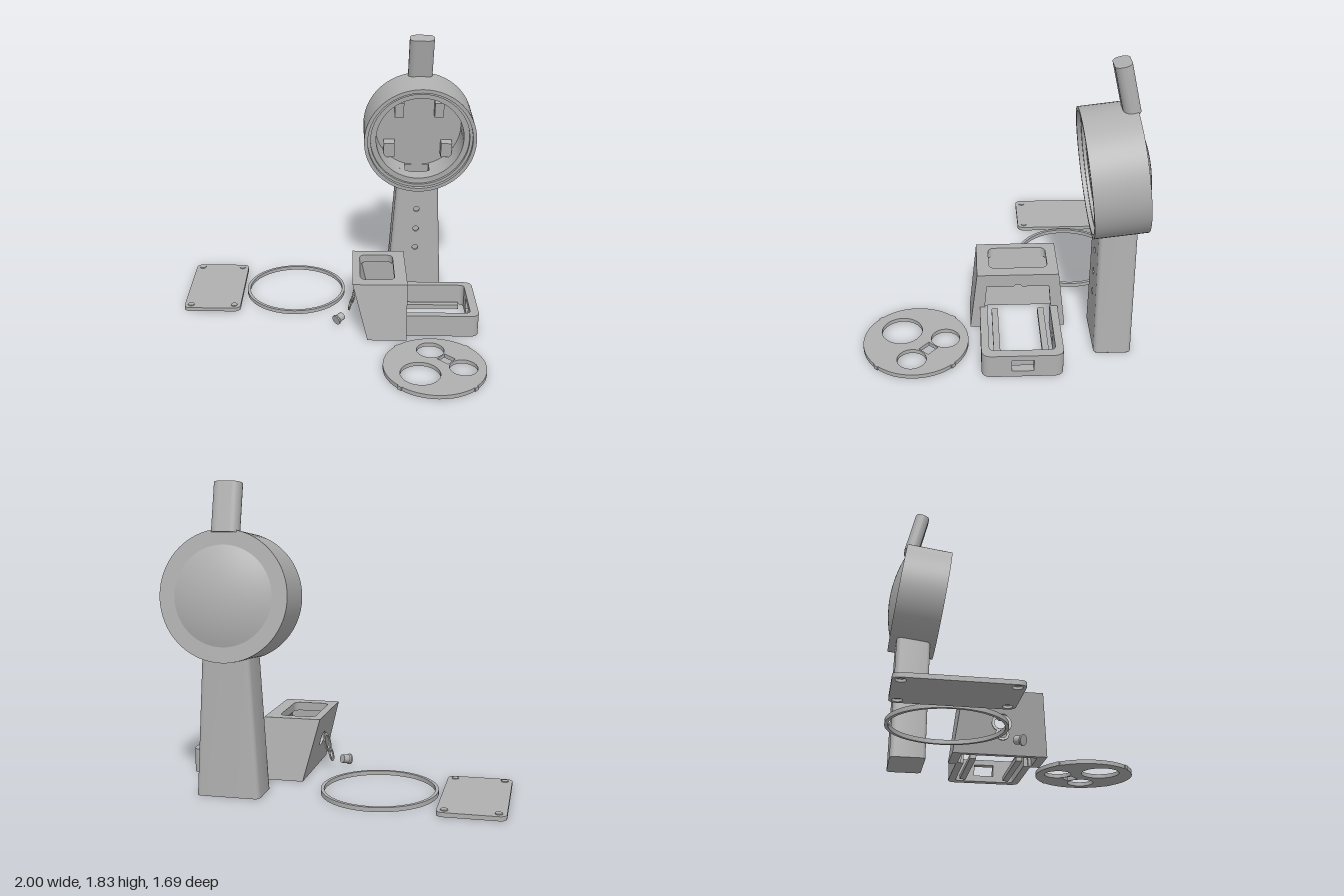
import * as THREE from 'three';
import { toCreasedNormals } from 'three/addons/utils/BufferGeometryUtils.js';

const grey = new THREE.MeshStandardMaterial({ color: 0xb0b0b0, side: THREE.DoubleSide });
grey.name = 'plastic grey';

function add(parent, name, geo, x = 0, y = 0, z = 0) {
  const m = new THREE.Mesh(geo, grey);
  m.name = name;
  m.position.set(x, y, z);
  parent.add(m);
  return m;
}

// ---- shape helpers ----
function roundRect(x0, y0, x1, y1, r, C = THREE.Shape) {
  const s = new C();
  s.moveTo(x0 + r, y0);
  s.lineTo(x1 - r, y0); s.absarc(x1 - r, y0 + r, r, -Math.PI / 2, 0);
  s.lineTo(x1, y1 - r); s.absarc(x1 - r, y1 - r, r, 0, Math.PI / 2);
  s.lineTo(x0 + r, y1); s.absarc(x0 + r, y1 - r, r, Math.PI / 2, Math.PI);
  s.lineTo(x0, y0 + r); s.absarc(x0 + r, y0 + r, r, Math.PI, Math.PI * 1.5);
  return s;
}
const poly = (pts, C = THREE.Shape) => new C(pts.map(p => new THREE.Vector2(...p)));
const circle = (x, y, r, C = THREE.Path) => new C().absarc(x, y, r, 0, Math.PI * 2);
const extrude = (s, depth) => new THREE.ExtrudeGeometry(s, { depth, bevelEnabled: false, curveSegments: 24 });
// plan shape (x, z) raised from y0 to y1
const slab = (s, y0, y1) => toCreasedNormals(extrude(s, y1 - y0).rotateX(Math.PI / 2).translate(0, y1, 0), 0.5);
// side shape (z, y) spanning x0 to x1
const sidePanel = (s, x0, x1) => extrude(s, x1 - x0).rotateY(-Math.PI / 2).translate(x1, 0, 0);
const lathe = (pts, seg = 72, a = 0, l = Math.PI * 2) =>
  toCreasedNormals(new THREE.LatheGeometry(pts.map(p => new THREE.Vector2(...p)), seg, a, l), 0.3);
const ring = (ri, ro, h) => lathe([[ri, 0], [ro, 0], [ro, h], [ri, h], [ri, 0]]);

// ---- loose flat parts ----
function flatParts(g) {
  const lower = roundRect(-1, -0.85, -0.61, -0.18, 0.04);
  for (const x of [-0.955, -0.655]) for (const z of [-0.805, -0.225]) {
    lower.holes.push(circle(x, z, 0.028));
    add(g, 'coverBoss', new THREE.CylinderGeometry(0.022, 0.022, 0.008, 24), x, 0.028, z);
  }
  add(g, 'coverPlateUnderside', slab(lower, 0, 0.015));
  add(g, 'coverPlate', slab(roundRect(-1, -0.85, -0.61, -0.18, 0.04), 0.015, 0.026));

  add(g, 'retainingRing', ring(0.33, 0.35, 0.026), -0.235, 0, -0.5);

  const disc = circle(0.675, 0.52, 0.322, THREE.Shape);
  disc.holes.push(circle(0.663, 0.34, 0.088), circle(0.853, 0.54, 0.088), circle(0.58, 0.61, 0.125),
    poly([[0.75, 0.385], [0.812, 0.442], [0.76, 0.5], [0.698, 0.442]], THREE.Path));
  add(g, 'facePlate', slab(disc, 0, 0.026));
  for (let i = 0; i < 4; i++) {
    const a = Math.PI / 4 + i * Math.PI / 2;
    add(g, 'facePlateTab', new THREE.BoxGeometry(0.02, 0.026, 0.03),
      0.675 + Math.cos(a) * 0.318, 0.013, 0.52 + Math.sin(a) * 0.318).rotation.y = -a;
  }
}

// ---- tapered neck ----
function neck(g) {
  const H = 0.84, zf = -0.56, zb = -0.785, r = 0.03, cx = 0.615;
  const hw = y => 0.192 - 0.05 * y / H;
  // section from the front left edge round the back to the front right edge
  const half = [];
  for (const [z, a0] of [[zf - r, Math.PI / 2], [zb + r, 0]])
    for (let i = 0; i <= 5; i++) {
      const a = a0 - i / 5 * Math.PI / 2;
      half.push([-r + r * Math.cos(a), z + r * Math.sin(a)]);
    }
  const section = y => {
    const right = half.map(([x, z]) => [cx + hw(y) + x, z]);
    return right.concat(right.map(([x, z]) => [2 * cx - x, z]).reverse());
  };
  const rows = [section(H), section(0)], n = rows[0].length;
  const shell = new THREE.PlaneGeometry(1, 1, n - 1, 1), p = shell.attributes.position;
  for (let i = 0; i < p.count; i++) {
    const row = Math.floor(i / n), [x, z] = rows[row][i % n];
    p.setXYZ(i, x, row ? 0 : H, z);
  }
  add(g, 'neckShell', toCreasedNormals(shell, 0.5));
  add(g, 'neckFoot', slab(poly(section(0)), 0, 0.004));

  const b = hw(0) - r, t = hw(H) - r;
  const front = poly([[cx - b, 0], [cx + b, 0], [cx + t, H], [cx - t, H]]);
  for (const y of [0.325, 0.47, 0.62]) front.holes.push(circle(cx, y, 0.02));
  add(g, 'neckFront', extrude(front, 0.02), 0, 0, zf - 0.02);
}

// ---- tilted round housing, local -z is its depth ----
function housing(g) {
  const h = new THREE.Group();
  h.name = 'housing';
  h.position.set(0.6175, 1.145, -0.48);
  h.rotation.x = 0.119;
  g.add(h);
  const turn = geo => geo.rotateX(-Math.PI / 2);
  const profile = [[0.298, 0.14], [0.298, 0.045], [0.335, 0.045], [0.335, 0.025], [0.355, 0.025],
    [0.355, 0], [0.38, 0], [0.38, 0.312]];
  const R = 0.792, top = 0.367;
  for (let i = 0; i <= 10; i++) {
    const x = 0.29 * (1 - i / 10);
    profile.push([x, top - R + Math.sqrt(R * R - x * x)]);
  }
  add(h, 'housingShell', turn(lathe(profile)));
  add(h, 'housingFloor', turn(lathe([[0.298, 0.25], [0, 0.25]])));
  // rear inner wall, cut open at the bottom for the cable passage
  const gap = Math.asin(0.085 / 0.298);
  add(h, 'innerWall', turn(lathe([[0.298, 0.14], [0.298, 0.25]], 64, Math.PI + gap, 2 * Math.PI - 2 * gap)));
  for (const s of [-1, 1]) {
    add(h, 'passageSide', new THREE.BoxGeometry(0.004, 0.085, 0.11), s * 0.087, -0.327, -0.195);
    add(h, 'passageEnd', new THREE.BoxGeometry(0.17, 0.07, 0.004), 0, -0.333, -0.195 + s * 0.057);
    // mounting blocks
    add(h, 'upperBlock', new THREE.BoxGeometry(0.062, 0.105, 0.06), s * 0.137, 0.148, -0.22);
    add(h, 'lowerBlock', new THREE.BoxGeometry(0.076, 0.105, 0.07), s * 0.2, -0.15, -0.215);
  }
  // stem on top
  const stem = add(g, 'stem', slab(roundRect(-0.083, -0.049, 0.083, 0.049, 0.045), 0, 0.29), 0.6175, 1.533, -0.718);
  stem.rotation.x = 0.23;
}

// ---- hollow hopper, built straight then tapered ----
function hopper(g) {
  const H = 0.385, x0 = 0.165, x1 = 0.52, z0 = -0.365, z1 = 0.14, zc = (z0 + z1) / 2, w = 0.05;
  const taper = geo => {
    const p = geo.attributes.position;
    for (let i = 0; i < p.count; i++) {
      const t = 1 - p.getY(i) / H;
      p.setX(i, x1 - (x1 - p.getX(i)) * (1 - 0.282 * t));
      p.setZ(i, zc + (p.getZ(i) - zc) * (1 + 0.178 * t));
    }
    return toCreasedNormals(geo, 0.4);
  };
  const top = poly([[x0, z0], [x1, z0], [x1, z1], [x0, z1]]);
  top.holes.push(roundRect(0.215, -0.3, 0.44, 0.065, 0.04, THREE.Path));
  add(g, 'hopperTop', taper(slab(top, 0.33, H)));
  for (const z of [z0, z1 - w])
    add(g, 'hopperSide', taper(new THREE.BoxGeometry(x1 - x0, H, w).toNonIndexed().translate((x0 + x1) / 2, H / 2, z + w / 2)));
  const back = poly([[z0, 0], [z1, 0], [z1, H], [z0, H]]);
  back.holes.push(circle(zc, 0.2, 0.045));
  add(g, 'hopperBack', taper(sidePanel(back, x0, x0 + w)));
  // open side with a small notch above the opening
  const open = new THREE.Shape();
  open.moveTo(z0, 0); open.lineTo(-0.298, 0); open.lineTo(-0.298, 0.3); open.lineTo(zc - 0.03, 0.3);
  open.absarc(zc, 0.285, 0.03, Math.PI * 0.83, Math.PI * 0.17, true);
  open.lineTo(0.073, 0.3); open.lineTo(0.073, 0); open.lineTo(z1, 0); open.lineTo(z1, H); open.lineTo(z0, H);
  add(g, 'hopperOpenSide', taper(sidePanel(open, x1 - w, x1)));
}

// ---- U-shaped tray with a slot in its end wall, and two rails ----
function tray(g) {
  for (const s of [-1, 1]) {
    for (const [y0, y1, gap] of [[0, 0.04, 0], [0.04, 0.115, 0.065], [0.115, 0.15, 0]]) {
      const u = new THREE.Shape(), z = v => -0.118 + s * v;
      u.moveTo(0.5, z(0.242)); u.lineTo(0.94, z(0.242));
      u.quadraticCurveTo(1, z(0.242), 1, z(0.18));
      u.lineTo(1, z(gap)); u.lineTo(0.945, z(gap)); u.lineTo(0.945, z(0.16));
      u.quadraticCurveTo(0.945, z(0.195), 0.91, z(0.195));
      u.lineTo(0.5, z(0.195));
      add(g, 'trayWall', slab(u, y0, y1));
    }
    add(g, 'rail', new THREE.BoxGeometry(0.525, 0.03, 0.04), 0.643, 0.015, -0.12 + s * 0.147);
  }
}

// ---- button parts lined up behind the hopper ----
function button(g) {
  for (const [x, y, ri, ro] of [[0.182, 0.175, 0.046, 0.063], [0.157, 0.098, 0.028, 0.043]])
    add(g, 'buttonRing', ring(ri, ro, 0.008), x, y, -0.12).rotation.z = Math.PI / 2 - 0.27;
  const knob = add(g, 'buttonKnob', lathe([[0, -0.03], [0.034, -0.03], [0.034, -0.02], [0.027, -0.012],
    [0.027, 0.03], [0, 0.03]], 32), 0.078, 0.045, -0.025);
  knob.quaternion.setFromUnitVectors(new THREE.Vector3(0, 1, 0), new THREE.Vector3(0.7, 0.2, -0.7).normalize());
}

export function createModel() {
  const g = new THREE.Group();
  g.name = 'standKit';
  for (const build of [flatParts, neck, housing, hopper, tray, button]) build(g);
  return g;
}
